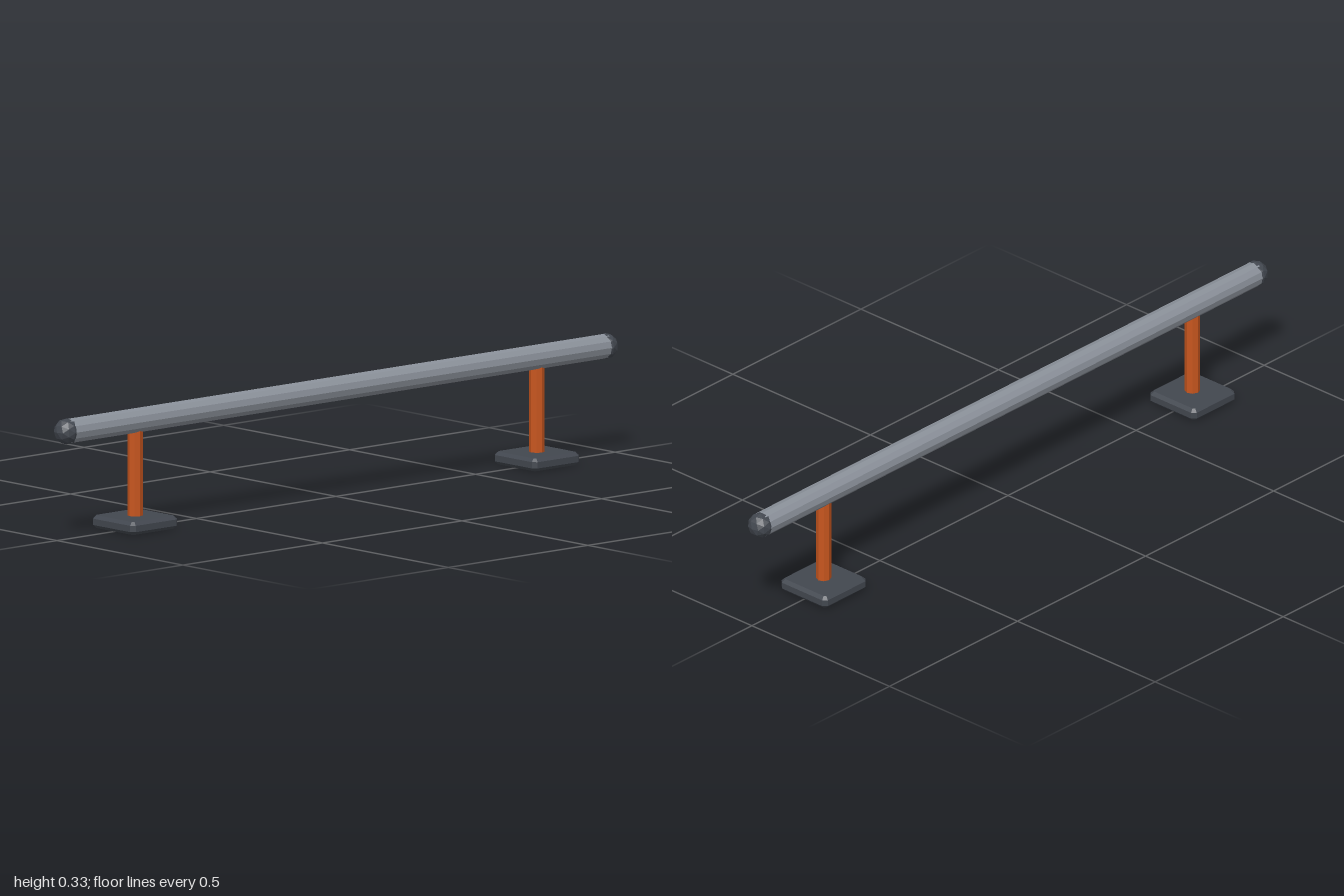
import * as THREE from 'three';

const RAIL_Y = 0.292;

// Square pad with chamfers on every edge
function padGeometry(size, height, c) {
  const h = size / 2 - c, k = h - c * 0.6;
  const shape = new THREE.Shape([
    [h, -k], [h, k], [k, h], [-k, h], [-h, k], [-h, -k], [-k, -h], [k, -h],
  ].map(([x, y]) => new THREE.Vector2(x, y)));
  const geo = new THREE.ExtrudeGeometry(shape, {
    depth: height - 2 * c, bevelEnabled: true, bevelThickness: c, bevelSize: c, bevelSegments: 1,
  });
  return geo.rotateX(-Math.PI / 2).translate(0, c, 0);
}

export function createModel() {
  const group = new THREE.Group();
  const material = (name, color) => {
    const m = new THREE.MeshStandardMaterial({ color, flatShading: true });
    m.name = name;
    return m;
  };
  const steel = material('steel grey', 0x8a9099);
  const dark = material('dark grey', 0x42474f);
  const orange = material('orange', 0xc8561e);

  const add = (name, geo, mat, x, y) => {
    const mesh = new THREE.Mesh(geo, mat);
    mesh.name = name;
    mesh.position.set(x, y, 0);
    group.add(mesh);
  };

  // Long horizontal bar
  add('rail', new THREE.CylinderGeometry(0.0335, 0.0335, 1.93, 12).rotateZ(Math.PI / 2), steel, 0, RAIL_Y);

  // Mirrored end caps, posts and feet
  for (const [side, s] of [['left', 1], ['right', -1]]) {
    add(side + 'EndCap', new THREE.IcosahedronGeometry(0.035, 1), dark, s * 0.965, RAIL_Y);
    add(side + 'Post', new THREE.CylinderGeometry(0.0205, 0.0205, 0.28, 8), orange, s * 0.72, 0.142);
    add(side + 'Foot', padGeometry(0.168, 0.035, 0.009), dark, s * 0.72, 0.001);
  }
  return group;
}
